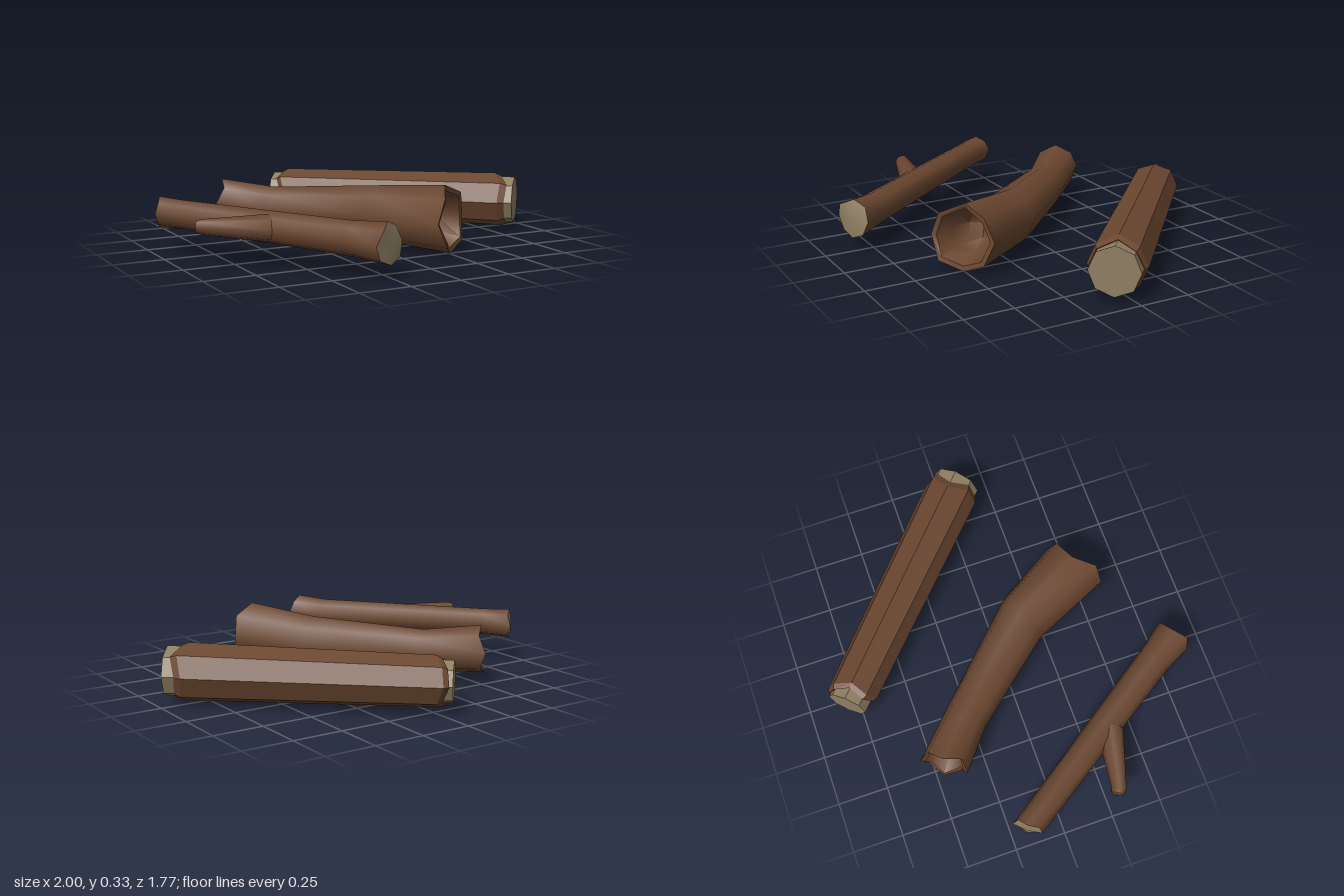
import * as THREE from 'three';
import { toCreasedNormals } from 'three/addons/utils/BufferGeometryUtils.js';

const SIDES = 8;

// Skin over rings [x, y, z, radius, heading, jag]; jag shifts each corner along the heading.
// dome pushes the middle of the closing fans outwards, null leaves that end open.
function skin(rings, { crease = 1.0, startDome = null, endDome = null } = {}) {
  const pos = [], idx = [];
  for (const [x, y, z, r, h, jag] of rings) {
    for (let j = 0; j < SIDES; j++) {
      const a = (j / SIDES) * Math.PI * 2, s = Math.cos(a) * r, k = jag ? jag[j] : 0;
      pos.push(x - Math.cos(h) * s + Math.sin(h) * k, y + Math.sin(a) * r, z + Math.sin(h) * s + Math.cos(h) * k);
    }
  }
  for (let i = 0; i < rings.length - 1; i++) {
    for (let j = 0; j < SIDES; j++) {
      const a = i * SIDES + j, b = i * SIDES + (j + 1) % SIDES;
      idx.push(a, a + SIDES, b, b, a + SIDES, b + SIDES);
    }
  }
  const fan = (i, dome, sign) => {
    const [x, y, z, , h] = rings[i], c = pos.length / 3;
    pos.push(x + Math.sin(h) * dome * sign, y, z + Math.cos(h) * dome * sign);
    for (let j = 0; j < SIDES; j++) {
      const a = i * SIDES + j, b = i * SIDES + (j + 1) % SIDES;
      if (sign > 0) idx.push(c, b, a); else idx.push(c, a, b);
    }
  };
  if (startDome !== null) fan(0, startDome, -1);
  if (endDome !== null) fan(rings.length - 1, endDome, 1);
  const geo = new THREE.BufferGeometry();
  geo.setAttribute('position', new THREE.Float32BufferAttribute(pos, 3));
  geo.setIndex(idx);
  return toCreasedNormals(geo, crease);
}

// Same ring moved along its heading and given a new radius
const shift = ([x, y, z, , h, jag], d, r) => [x + Math.sin(h) * d, y, z + Math.cos(h) * d, r, h, jag];

export function createModel() {
  const bark = new THREE.MeshStandardMaterial({ color: 0x6b4730 });
  bark.name = 'bark';
  const wood = new THREE.MeshStandardMaterial({ color: 0x8f7f62 });
  wood.name = 'cutWood';
  const model = new THREE.Group();
  model.name = 'logs';
  const group = (name) => {
    const g = new THREE.Group();
    g.name = name;
    model.add(g);
    return g;
  };
  const add = (parent, name, geo, mat) => {
    const m = new THREE.Mesh(geo, mat);
    m.name = name;
    parent.add(m);
  };

  // Straight cut log: faceted bark sleeve around a protruding wooden core
  const cut = group('cutLog');
  const H = 0.83, back = [-0.07, 0.145, -0.81, 0.1, H], front = [0.915, 0.145, 0.09, 0.122, H];
  const jagB = [0.03, 0, 0.02, -0.01, -0.02, 0.01, 0, 0.02];
  const jagF = [0.01, 0.02, -0.02, 0.015, -0.01, 0, 0.02, 0.01];
  const sleeveB = [...shift(back, 0.06, 0.122), jagB], sleeveF = [...shift(front, -0.085, 0.14), jagF];
  sleeveB.splice(5, 1);
  sleeveF.splice(5, 1);
  add(cut, 'cutLogBark', skin([
    shift(sleeveB, -0.01, 0.098), shift(sleeveB, -0.025, 0.108), sleeveB,
    sleeveF, shift(sleeveF, 0.035, 0.126), shift(sleeveF, 0.02, 0.115),
  ], { crease: 0.05 }), bark);
  add(cut, 'cutLogCore', skin([back, front], { crease: 0.05, startDome: 0, endDome: 0 }), wood);

  // Bent hollow log with jagged mouths
  const hollow = group('hollowLog');
  const mouthB = [-0.535, 0.167, -0.46, 0.119, 0.98, [0, 0.04, 0.01, 0.03, 0, 0.02, -0.01, 0.03]];
  const mouthF = [0.255, 0.162, 0.505, 0.165, 0.66, [0, 0.015, -0.03, 0.01, 0, 0.02, 0, 0.03]];
  add(hollow, 'hollowLogBark', skin([
    shift(mouthB, 0.2, 0.06), shift(mouthB, 0.1, 0.085), shift(mouthB, 0.005, 0.1), mouthB,
    [-0.315, 0.147, -0.265, 0.108, 0.65], [0.065, 0.155, 0.15, 0.137, 0.45],
    mouthF, shift(mouthF, -0.005, 0.14), shift(mouthF, -0.12, 0.11), shift(mouthF, -0.22, 0.07),
  ], { startDome: -0.02, endDome: -0.02 }), bark);

  // Thin branch log with wooden ends and a side twig
  const thin = group('thinLog');
  const endB = [-0.955, 0.192, -0.18, 0.075, 0.93, [0, 0.01, 0, 0.015, 0, 0.01, -0.005, 0.01]];
  const endF = [-0.268, 0.157, 0.842, 0.097, 0.44, [0, 0.02, -0.01, -0.015, 0, 0.01, 0.01, 0]];
  add(thin, 'thinLogBark', skin([
    endB, [-0.88, 0.19, -0.07, 0.07, 0.59], [-0.36, 0.16, 0.7, 0.082, 0.57], endF,
  ]), bark);
  add(thin, 'thinLogBackEnd', skin([endB], { crease: 1.2, startDome: 0.01 }), wood);
  add(thin, 'thinLogFrontEnd', skin([endF], { crease: 1.2, endDome: 0.02 }), wood);
  add(thin, 'twig', skin([
    [-0.62, 0.175, 0.365, 0.066, -1.87], [-0.92, 0.195, 0.297, 0.036, -1.95],
    [-0.94, 0.195, 0.28, 0.03, -2.2],
  ], { endDome: 0.005 }), bark);

  return model;
}
